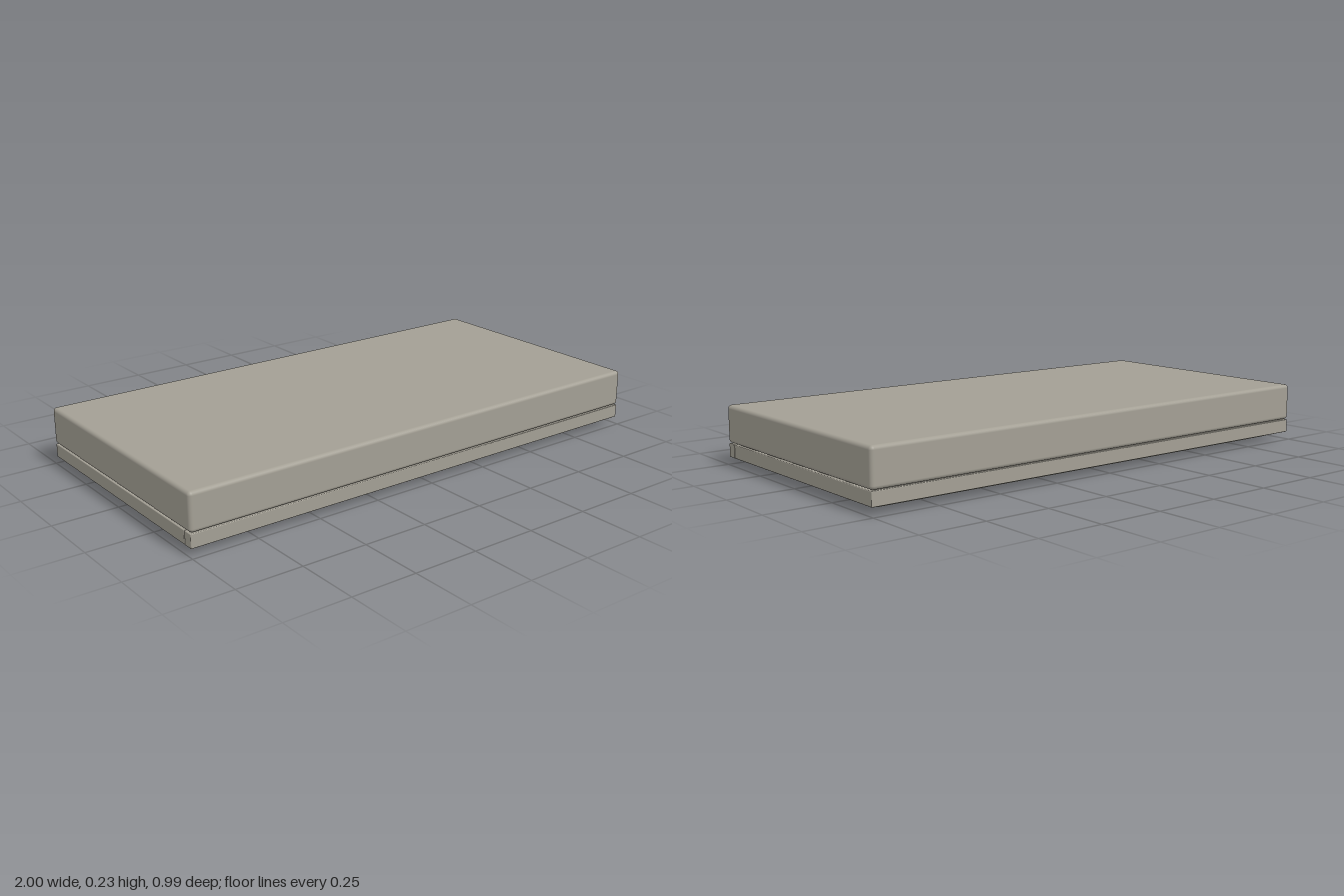
import * as THREE from 'three';
import { RoundedBoxGeometry } from 'three/addons/geometries/RoundedBoxGeometry.js';

const fabric = new THREE.MeshStandardMaterial({ name: 'greyFabric', color: 0xa39f94 });
const cream = new THREE.MeshStandardMaterial({ name: 'creamPanel', color: 0xd2cfba });
const dark = new THREE.MeshStandardMaterial({ name: 'darkBracket', color: 0x6b6962 });

export function createModel() {
  const group = new THREE.Group();

  // Block given by its min and max corners, with optional rounded edges
  function block(name, material, [x0, y0, z0], [x1, y1, z1], radius = 0) {
    const size = [x1 - x0, y1 - y0, z1 - z0];
    const geometry = radius
      ? new RoundedBoxGeometry(...size, 4, radius)
      : new THREE.BoxGeometry(...size);
    const mesh = new THREE.Mesh(geometry, material);
    mesh.name = name;
    mesh.position.set((x0 + x1) / 2, (y0 + y1) / 2, (z0 + z1) / 2);
    group.add(mesh);
    return mesh;
  }

  // Padded top
  block('cushion', fabric, [-1, 0.084, -0.493], [1, 0.226, 0.493], 0.014);

  // Base frame with a separate front board, and a recessed seam above it
  block('baseFrame', fabric, [-0.998, 0.03, -0.49], [0.998, 0.082, 0.449], 0.003);
  block('frontBoard', fabric, [-0.998, 0.03, 0.45], [0.998, 0.082, 0.49], 0.003);
  block('seam', fabric, [-0.985, 0.08, -0.478], [0.985, 0.088, 0.478]);

  // Shallow tray underneath
  block('tray', cream, [-0.942, 0.009, -0.426], [0.942, 0.032, 0.426], 0.005);

  for (const z of [-0.23, 0.23]) {
    // Thin rib running between each pair of feet
    block('rib', cream, [-0.87, 0.007, z - 0.005], [0.87, 0.011, z + 0.005]);
    for (const x of [-0.9, 0.9]) {
      // Low foot tapering towards the floor
      const foot = block('foot', cream, [x - 0.034, 0, z - 0.049], [x + 0.034, 0.011, z + 0.049]);
      const p = foot.geometry.attributes.position;
      for (let i = 0; i < p.count; i++) {
        if (p.getY(i) < 0) {
          p.setX(i, p.getX(i) * 0.75);
          p.setZ(i, p.getZ(i) * 0.78);
        }
      }
      foot.geometry.computeVertexNormals();
    }
  }

  // Small corner brackets between tray and frame
  for (const x of [-0.925, 0.925])
    for (const z of [-0.435, 0.435])
      block('cornerBracket', dark, [x - 0.012, 0.024, z - 0.01], [x + 0.012, 0.031, z + 0.01]);

  return group;
}
